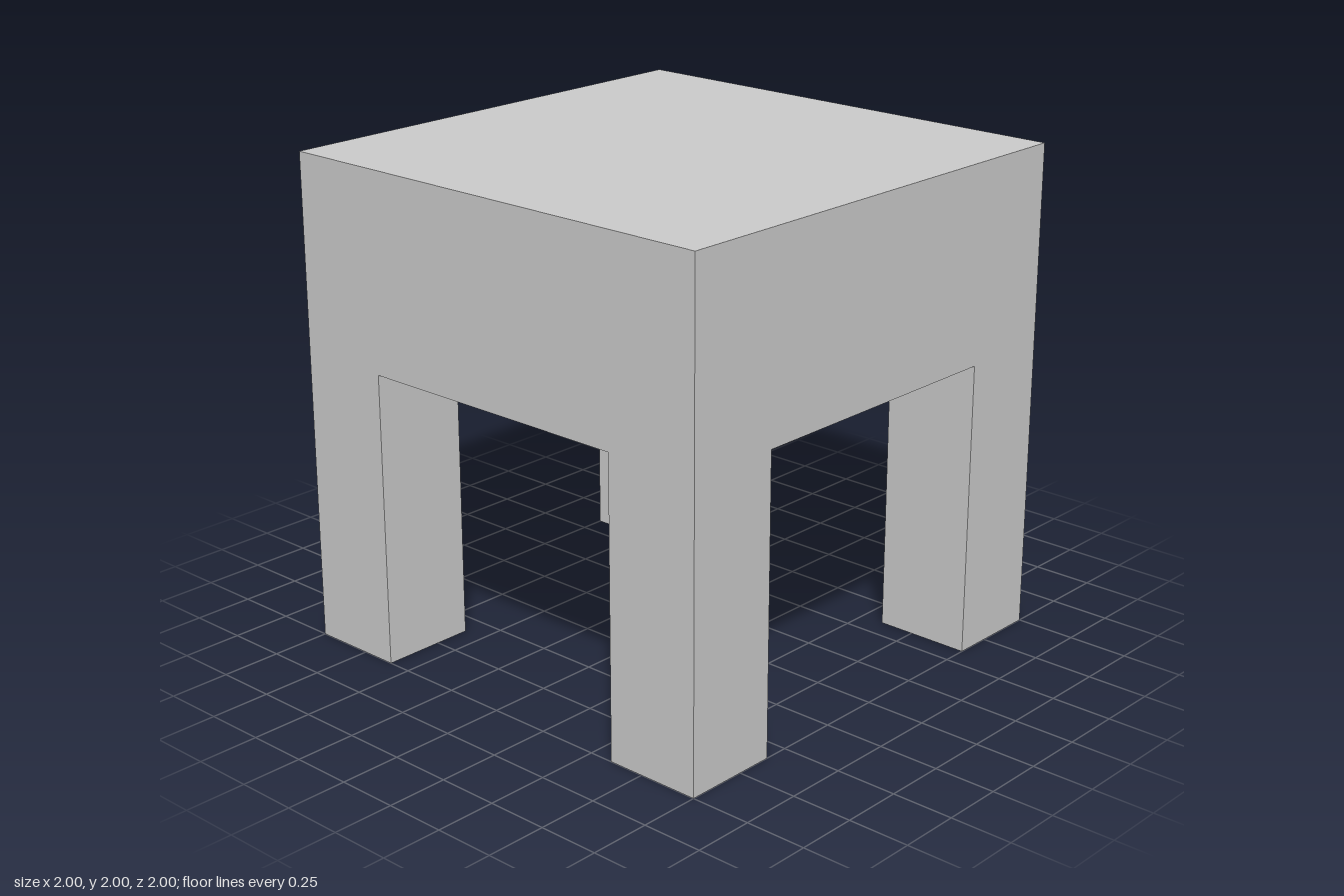
import * as THREE from 'three';

export function createModel() {
  const model = new THREE.Group();
  model.name = 'stool';
  const material = new THREE.MeshStandardMaterial({ color: 0xcccccc, flatShading: true });

  const width = 2, seatHeight = 0.8, legHeight = 1.2, legWidth = 0.4;

  // Thick square seat block
  const seat = new THREE.Mesh(new THREE.BoxGeometry(width, seatHeight, width), material);
  seat.name = 'seat';
  seat.position.y = legHeight + seatHeight / 2;
  model.add(seat);

  // Four square legs, flush with the seat corners
  const legGeometry = new THREE.BoxGeometry(legWidth, legHeight, legWidth);
  const offset = (width - legWidth) / 2;
  for (const [zName, z] of [['front', 1], ['back', -1]]) {
    for (const [xName, x] of [['Left', 1], ['Right', -1]]) {
      const leg = new THREE.Mesh(legGeometry, material);
      leg.name = `${zName}${xName}Leg`;
      leg.position.set(x * offset, legHeight / 2, z * offset);
      model.add(leg);
    }
  }

  return model;
}
